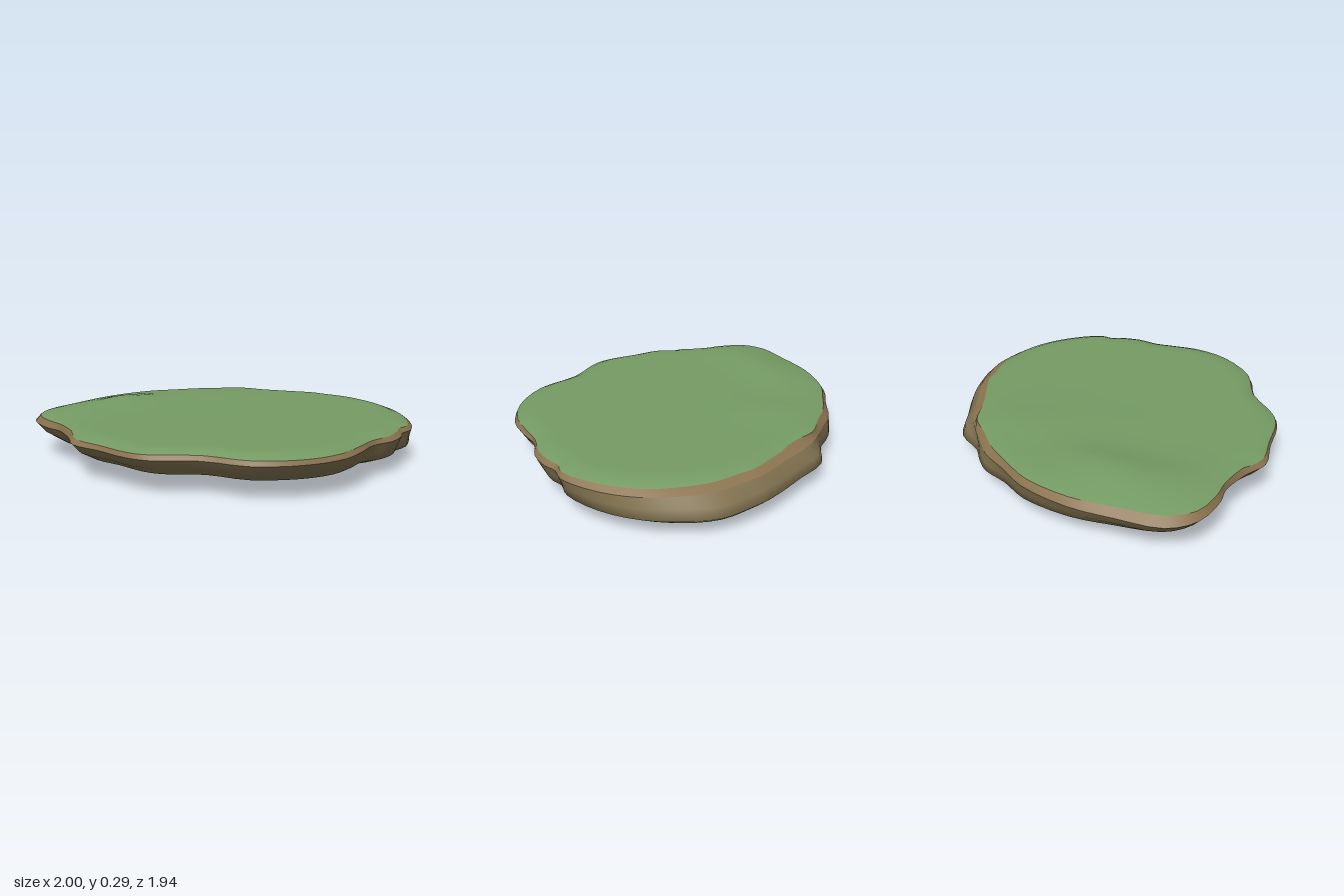
import * as THREE from 'three';

// Matching outlines (x, z), running from the back over the left side to the front
const outer = [
  [-0.25, -0.98], [0.05, -0.93], [0.22, -0.84], [0.38, -0.78], [0.47, -0.70], [0.54, -0.62], [0.70, -0.52],
  [0.80, -0.33], [0.92, -0.10], [0.96, 0.02], [1.0, 0.2], [0.96, 0.4], [0.88, 0.58], [0.74, 0.75],
  [0.54, 0.88], [0.43, 0.89], [0.36, 0.93], [0.23, 0.95], [0.10, 0.92], [-0.03, 0.95], [-0.2, 0.97],
  [-0.4, 0.91], [-0.62, 0.74], [-0.73, 0.5], [-0.9, 0.32], [-0.95, 0.2], [-0.97, 0], [-1.0, -0.19],
  [-0.94, -0.32], [-0.89, -0.5], [-0.90, -0.6], [-0.86, -0.8], [-0.74, -0.92], [-0.5, -0.96]];
const grassEdge = [
  [-0.25, -0.94], [0.02, -0.90], [0.18, -0.82], [0.35, -0.72], [0.46, -0.62], [0.58, -0.52], [0.64, -0.38],
  [0.74, -0.2], [0.82, -0.05], [0.84, 0.05], [0.87, 0.2], [0.85, 0.4], [0.80, 0.55], [0.68, 0.72],
  [0.5, 0.86], [0.42, 0.86], [0.36, 0.89], [0.23, 0.92], [0.10, 0.91], [-0.03, 0.93], [-0.2, 0.95],
  [-0.4, 0.9], [-0.61, 0.73], [-0.72, 0.49], [-0.89, 0.31], [-0.94, 0.2], [-0.96, 0], [-0.98, -0.18],
  [-0.92, -0.32], [-0.88, -0.5], [-0.88, -0.6], [-0.84, -0.77], [-0.72, -0.87], [-0.5, -0.91]];

const N = 102;
const smoothLoop = (pts) => {
  const curve = new THREE.CatmullRomCurve3(pts.map(([x, z]) => new THREE.Vector3(x, 0, z)), true);
  return Array.from({ length: N }, (_, i) => curve.getPoint(i / N));
};
const bump = (x, z, cx, cz, rx, rz) => Math.exp(-(((x - cx) / rx) ** 2) - ((z - cz) / rz) ** 2);
const mix = THREE.MathUtils.lerp;

// Joins rings of N points, listed from the top centre outward and down
function skin(name, rings, material) {
  const position = [], index = [];
  rings.forEach((ring) => ring.forEach((p) => position.push(p.x, p.y, p.z)));
  for (let r = 0; r < rings.length - 1; r++) {
    for (let j = 0; j < N; j++) {
      const a = r * N + j, b = r * N + (j + 1) % N;
      index.push(a, b, a + N, b, b + N, a + N);
    }
  }
  const geometry = new THREE.BufferGeometry();
  geometry.setAttribute('position', new THREE.Float32BufferAttribute(position, 3));
  geometry.setIndex(index);
  geometry.computeVertexNormals();
  const mesh = new THREE.Mesh(geometry, material);
  mesh.name = name;
  return mesh;
}

export function createModel() {
  const grass = new THREE.MeshStandardMaterial({ color: 0x759b64 });
  grass.name = 'grass green';
  const soil = new THREE.MeshStandardMaterial({ color: 0x8c7450 });
  soil.name = 'soil brown';
  const rock = new THREE.MeshStandardMaterial({ color: 0x827350 });
  rock.name = 'rock brown';

  const rim = smoothLoop(outer), edge = smoothLoop(grassEdge);
  // How far each rim point undercuts: most on the right side, some at the front
  const undercut = rim.map((p) => THREE.MathUtils.clamp(0.5 - p.x * 0.55 + p.z * 0.12, 0, 1));
  const ring = (fn) => rim.map((p, i) => fn(p, edge[i], undercut[i]));

  // Ground with a low ridge along the back
  const ground = (x, z) => 0.25 + 0.042 * bump(x, z, -0.35, -0.67, 0.32, 0.17)
    + 0.016 * bump(x, z, 0.3, -0.45, 0.22, 0.16) + 0.012 * bump(x, z, -0.7, -0.6, 0.15, 0.2)
    + 0.007 * bump(x, z, 0.1, -0.25, 0.4, 0.2);
  const top = [0, 0.12, 0.24, 0.36, 0.46, 0.54, 0.62, 0.7, 0.78, 0.86, 0.94].map((s) =>
    ring((p, e) => new THREE.Vector3(e.x * s, mix(ground(e.x * s, e.z * s), 0.25, s ** 12), e.z * s)));
  const lip = ring((p, e) => new THREE.Vector3(e.x, e.z < -0.3 ? 0.24 : 0.228, e.z));

  // Thin soil band below the grass
  const bandLow = ring((p, e, u) => {
    const k = mix(0.4, 1, u);
    return new THREE.Vector3(mix(e.x, p.x, k), 0.203, mix(e.z, p.z, k));
  });

  // Rock wall, bulging low on the left side and undercut on the right
  const wall = [
    [0.15, 0.975, 0.955], [0.1, 1, 0.87], [0.07, 0.965, 0.74], [0.048, 0.87, 0.58], [0.037, 0.7, 0.46],
  ].map(([y, full, cut]) => ring((p, e, u) => {
    const s = mix(full, cut, u);
    return new THREE.Vector3(p.x * s, y, p.z * s);
  }));

  // Underside with a shallow lump near the middle
  const base = wall[wall.length - 1];
  const under = [0.8, 0.62, 0.48, 0.36, 0.24, 0.12, 0].map((s) => base.map((p) => {
    const x = p.x * s, z = p.z * s;
    const y = 0.035 - 0.024 * bump(x, z, 0.16, -0.02, 0.22, 0.1) - 0.011 * bump(x, z, 0.2, 0, 0.35, 0.25);
    return new THREE.Vector3(x, Math.max(0, y), z);
  }));

  const model = new THREE.Group();
  model.name = 'grassyIsland';
  model.add(
    skin('grassTop', [...top, lip], grass),
    skin('soilBand', [lip, bandLow], soil),
    skin('rockBase', [bandLow, ...wall, ...under], rock));
  return model;
}
